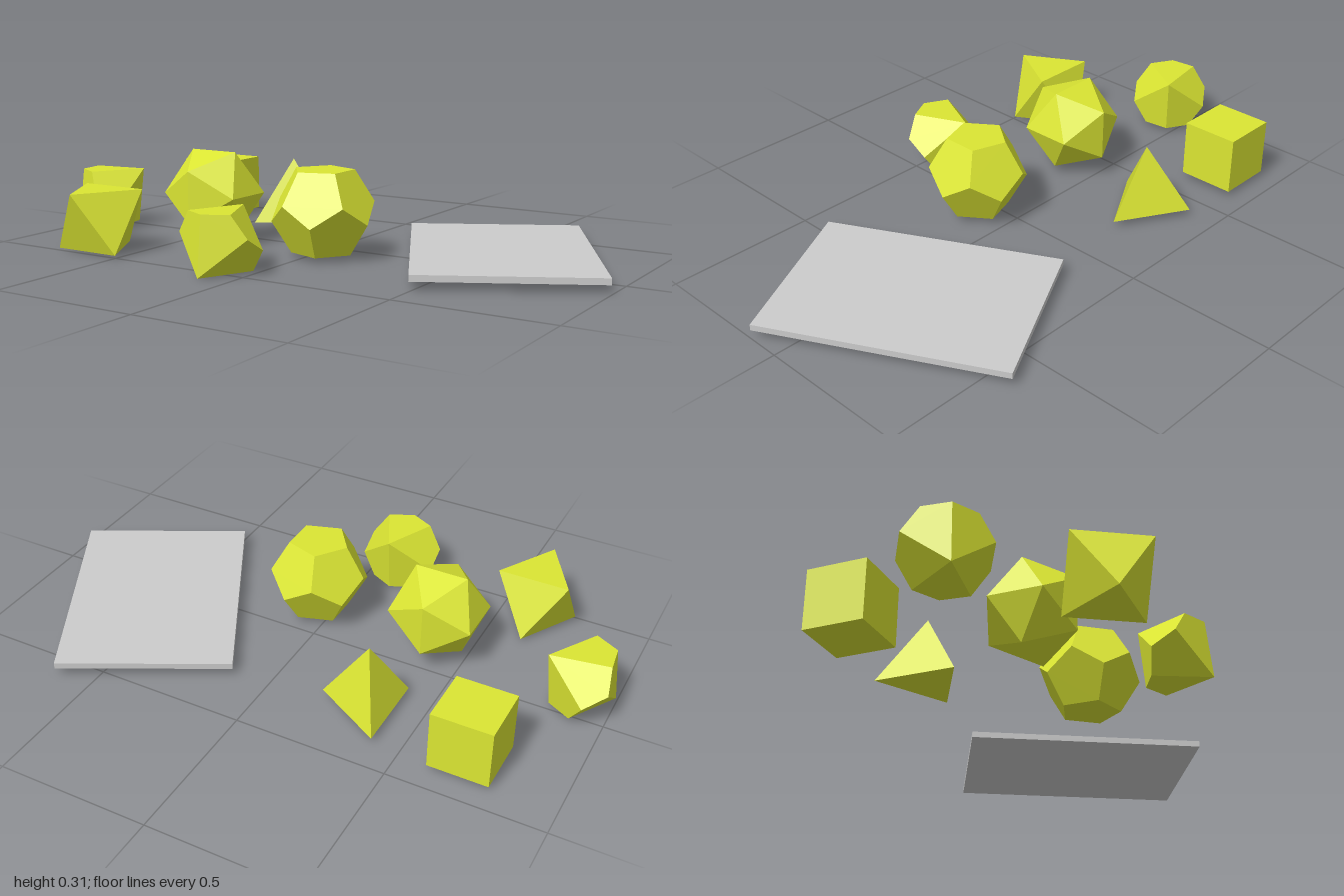
import * as THREE from 'three';
import { ConvexGeometry } from 'three/addons/geometries/ConvexGeometry.js';

const UP = Math.PI / 2;

// n points on a horizontal circle; angles run from +x towards +z
function ring(n, r, y, start) {
  return Array.from({ length: n }, (_, i) => {
    const a = start + (i * 2 * Math.PI) / n;
    return new THREE.Vector3(r * Math.cos(a), y, r * Math.sin(a));
  });
}

// four-sided solid resting on a face, one base corner towards +x
function tetrahedron(edge) {
  const r = edge / Math.sqrt(3), h = edge * Math.sqrt(2 / 3);
  return new ConvexGeometry([...ring(3, r, -h / 4, 0), new THREE.Vector3(0, h * 0.75, 0)]);
}

// eight-sided solid resting on a face
function octahedron(edge) {
  const r = edge / Math.sqrt(3), h = edge / Math.sqrt(6);
  return new ConvexGeometry([...ring(3, r, h, UP), ...ring(3, r, -h, -UP)]);
}

// twelve-sided solid resting on a face, R is the corner radius
function dodecahedron(R) {
  return new ConvexGeometry([
    ...ring(5, 0.607 * R, 0.7947 * R, Math.PI), ...ring(5, 0.9822 * R, 0.1876 * R, Math.PI),
    ...ring(5, 0.9822 * R, -0.1876 * R, 0), ...ring(5, 0.607 * R, -0.7947 * R, 0),
  ]);
}

// ten-sided solid with kite faces, tipped over to rest on one of them
function trapezohedron(r, H) {
  const c = Math.cos(Math.PI / 5), h = (H * (1 - c)) / (1 + c);
  const geometry = new ConvexGeometry([
    new THREE.Vector3(0, H, 0), new THREE.Vector3(0, -H, 0),
    ...ring(5, r, h, -UP), ...ring(5, r, -h, UP),
  ]);
  return geometry.rotateX(-Math.atan2(H + h, r));
}

export function createModel() {
  const group = new THREE.Group();
  const yellow = new THREE.MeshStandardMaterial({ color: 0xdbe633, flatShading: true });
  const grey = new THREE.MeshStandardMaterial({ color: 0xcccccc, flatShading: true });

  function add(name, geometry, material, position, turn = 0) {
    const mesh = new THREE.Mesh(geometry, material);
    mesh.name = name;
    mesh.position.set(...position);
    mesh.rotation.y = turn;
    group.add(mesh);
  }

  // dice
  add('fourSidedDie', tetrahedron(0.27), yellow, [-0.333, 0.08, -0.27]);
  add('sixSidedDie', new THREE.BoxGeometry(0.195, 0.195, 0.195), yellow, [-0.698, 0.118, -0.33]);
  add('eightSidedDie', octahedron(0.24), yellow, [-0.625, 0.107, 0.427]);
  add('frontTenSidedDie', trapezohedron(0.135, 0.151), yellow, [-0.105, 0.097, 0.467]);
  add('sideTenSidedDie', trapezohedron(0.135, 0.151), yellow, [-0.9, 0.112, 0.067], -0.98);
  add('twelveSidedDie', dodecahedron(0.167), yellow, [0.048, 0.152, 0.133]);
  add('twentySidedDie', new THREE.IcosahedronGeometry(0.167), yellow, [-0.398, 0.17, 0.113]);

  // flat board beside the dice
  add('board', new THREE.BoxGeometry(0.57, 0.02, 0.79), grey, [0.56, 0.038, -0.102], 0.486);

  return group;
}
